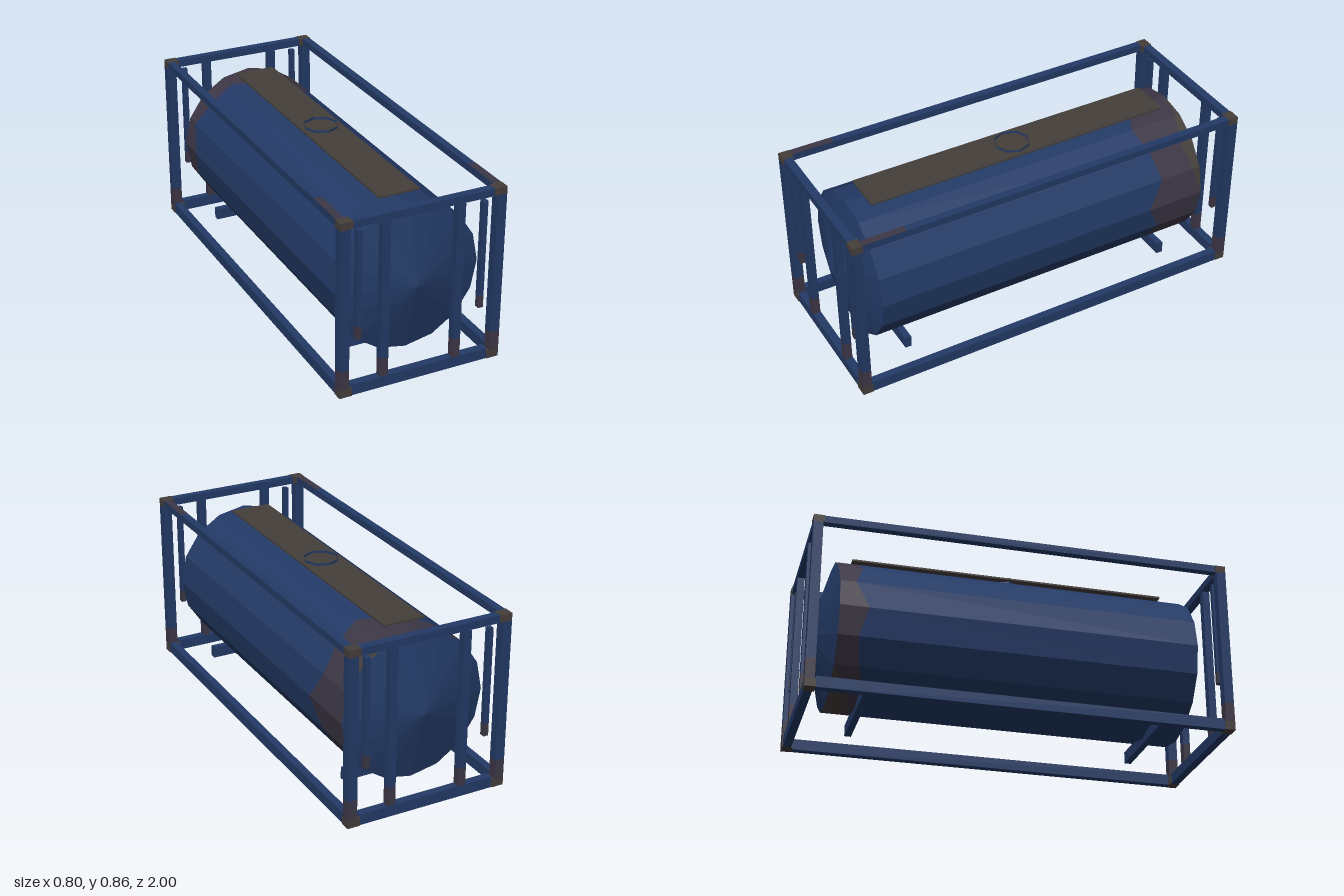
import * as THREE from 'three';

const mat = (name, color, extra = {}) => {
  const m = new THREE.MeshStandardMaterial({ color, ...extra });
  m.name = name;
  return m;
};

export function createModel() {
  const group = new THREE.Group();
  const blue = mat('bluePaint', 0x233a66, { flatShading: true, side: THREE.DoubleSide });
  const rust = mat('rustStain', 0x3d3746, { flatShading: true });
  const steel = mat('bareSteel', 0x453f3b, { flatShading: true });

  // Box given by its minimum and maximum corners
  const box = (name, material, x0, x1, y0, y1, z0, z1) => {
    const mesh = new THREE.Mesh(new THREE.BoxGeometry(Math.abs(x1 - x0), y1 - y0, Math.abs(z1 - z0)), material);
    mesh.position.set((x0 + x1) / 2, (y0 + y1) / 2, (z0 + z1) / 2);
    mesh.name = name;
    group.add(mesh);
  };
  // Upright bar with a stained foot
  const bar = (name, sx, sz, x0, x1, y0, yStain, y1, z0, z1) => {
    box(name + 'Foot', rust, sx * x0, sx * x1, y0, yStain, sz * z0, sz * z1);
    box(name, blue, sx * x0, sx * x1, yStain, y1, sz * z0, sz * z1);
  };

  // Container frame
  for (const sx of [-1, 1]) {
    for (const sz of [-1, 1]) {
      box('lowerCornerFitting', steel, sx * 0.34, sx * 0.4, 0, 0.04, sz * 0.95, sz);
      box('upperCornerFitting', steel, sx * 0.34, sx * 0.4, 0.82, 0.855, sz * 0.95, sz);
      bar('cornerPost', sx, sz, 0.354, 0.4, 0.04, 0.135, 0.82, 0.955, 1);
      bar('endPost', sx, sz, 0.161, 0.2, 0.053, 0.145, 0.815, 0.96, 0.995);
      bar('ladderBar', sx, sz, 0.29, 0.315, 0.27, 0.332, 0.798, 0.962, 0.988);
    }
    box('lowerSideRail', blue, sx * 0.36, sx * 0.397, 0, 0.053, -0.95, 0.95);
    box('upperSideRail', blue, sx * 0.36, sx * 0.397, 0.82, 0.854, -0.95, 0.95);
    box('railStain', rust, sx * 0.36, sx * 0.397, 0.853, 0.855, 0.74, 0.95);
  }
  for (const sz of [-1, 1]) {
    box('lowerEndBeam', blue, -0.34, 0.34, 0, 0.053, sz * 0.957, sz * 0.996);
    box('upperEndBeam', blue, -0.34, 0.34, 0.818, 0.854, sz * 0.957, sz * 0.996);
    box('saddle', blue, -0.263, 0.263, 0.053, 0.11, sz * 0.685, sz * 0.717);
  }

  // Tank: sixteen panels, each split along z where the stains begin
  const N = 16, R = 0.355, CY = 0.435, END = 0.855;
  const rustEdge = [-0.65, -0.58, -0.615, -0.64, -0.56, -0.63, -0.61, -0.66,
    -0.68, -0.7, -0.74, -0.76, -0.72, -0.78, -0.74, -0.755];
  const steelEdge = { 1: -0.83, 2: -0.79, 3: -0.82, 7: -0.76, 8: -0.74, 9: -0.78 };
  const edges = [() => END, i => rustEdge[i], i => steelEdge[i] ?? -END, () => -END];
  const rim = (i, z) => {
    const a = (i / N) * Math.PI * 2;
    return [R * Math.sin(a), CY + R * Math.cos(a), z];
  };
  ['tankShell', 'tankRust', 'tankBareMetal'].forEach((name, k) => {
    const p = [];
    for (let i = 0; i < N; i++) {
      const j = (i + 1) % N;
      const a = rim(i, edges[k](i)), b = rim(j, edges[k](j));
      const c = rim(j, edges[k + 1](j)), d = rim(i, edges[k + 1](i));
      if (b[2] > c[2]) p.push(...a, ...b, ...c);
      if (a[2] > d[2]) p.push(...a, ...c, ...d);
      // Shallow conical ends
      if (k === 0) {
        p.push(0, CY, 0.955, ...rim(j, END), ...rim(i, END));
        p.push(0, CY, -0.955, ...rim(i, -END), ...rim(j, -END));
      }
    }
    const g = new THREE.BufferGeometry();
    g.setAttribute('position', new THREE.Float32BufferAttribute(p, 3));
    g.computeVertexNormals();
    const mesh = new THREE.Mesh(g, [blue, rust, steel][k]);
    mesh.name = name;
    group.add(mesh);
  });

  // Walkway on top and the open manhole collar
  box('walkway', steel, -0.1, 0.1, 0.801, 0.81, -0.77, 0.77);
  const collar = new THREE.Mesh(new THREE.CylinderGeometry(0.083, 0.083, 0.032, 8, 1, true), blue);
  collar.position.y = 0.806;
  collar.name = 'manholeCollar';
  group.add(collar);

  return group;
}
